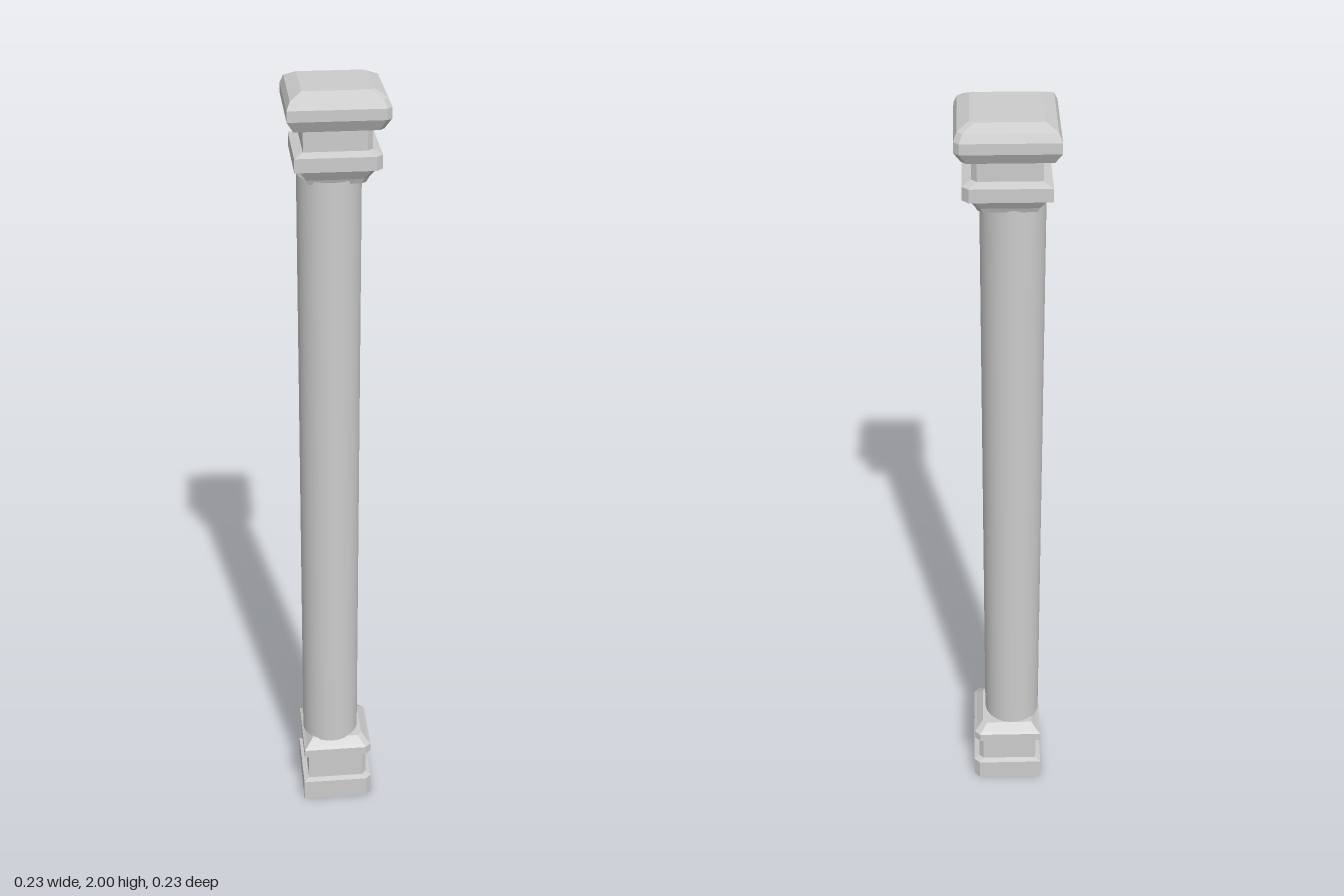
import * as THREE from 'three';

const material = new THREE.MeshStandardMaterial({ color: 0xcccccc, flatShading: true, side: THREE.DoubleSide });
const smooth = new THREE.MeshStandardMaterial({ color: 0xcccccc, side: THREE.DoubleSide });

// Square outline whose two +x corners are cut off by c
function outline(h, c, y) {
  const x0 = -h - 0.003, x1 = h - 0.003, z = h + 0.001;
  return [[x0, z], [x1 - c, z], [x1, z - c], [x1, -z + c], [x1 - c, -z], [x0, -z]]
    .map(([x, zz]) => new THREE.Vector3(x, y, zz));
}

// Skin a stack of outlines given as [y, halfWidth, cornerCut] from bottom to top
function moulding(name, levels, capTop) {
  const rings = levels.map(([y, h, c]) => outline(h, c, y));
  const pts = [];
  for (let i = 0; i + 1 < rings.length; i++) {
    const a = rings[i], b = rings[i + 1];
    for (let k = 0; k < 6; k++) {
      const n = (k + 1) % 6;
      pts.push(a[k], a[n], b[n], a[k], b[n], b[k]);
    }
  }
  if (capTop) {
    const t = rings[rings.length - 1];
    for (let k = 1; k < 5; k++) pts.push(t[0], t[k], t[k + 1]);
  }
  const geometry = new THREE.BufferGeometry().setFromPoints(pts);
  geometry.computeVertexNormals();
  const mesh = new THREE.Mesh(geometry, material);
  mesh.name = name;
  return mesh;
}

export function createModel() {
  const group = new THREE.Group();
  group.name = 'column';

  // Hollow plinth, narrow neck, projecting band and sloped top
  group.add(moulding('base', [
    [0, 0.094, 0.015], [0.06, 0.094, 0.015], [0.065, 0.08, 0.012],
    [0.145, 0.08, 0.012], [0.148, 0.092, 0.015], [0.172, 0.092, 0.015],
    [0.178, 0.085, 0.013], [0.197, 0.068, 0.012],
  ], true));

  // Round shaft, set slightly off the centre of the base
  const shaft = new THREE.Mesh(new THREE.CylinderGeometry(0.075, 0.075, 1.6, 32, 1, true), smooth);
  shaft.name = 'shaft';
  shaft.position.set(-0.017, 0.993, 0.006);
  group.add(shaft);

  // Flared collar and neck of the capital
  group.add(moulding('capital', [
    [1.785, 0.066, 0.012], [1.797, 0.071, 0.012], [1.82, 0.086, 0.013],
    [1.824, 0.099, 0.015], [1.856, 0.099, 0.015], [1.864, 0.078, 0.012],
    [1.918, 0.078, 0.012],
  ], false));

  // Bevelled square cap
  group.add(moulding('cap', [
    [1.914, 0.078, 0.012], [1.916, 0.1, 0.012], [1.942, 0.115, 0.012],
    [1.967, 0.115, 0.012], [1.986, 0.107, 0.012], [2, 0.08, 0.01],
  ], true));

  return group;
}
